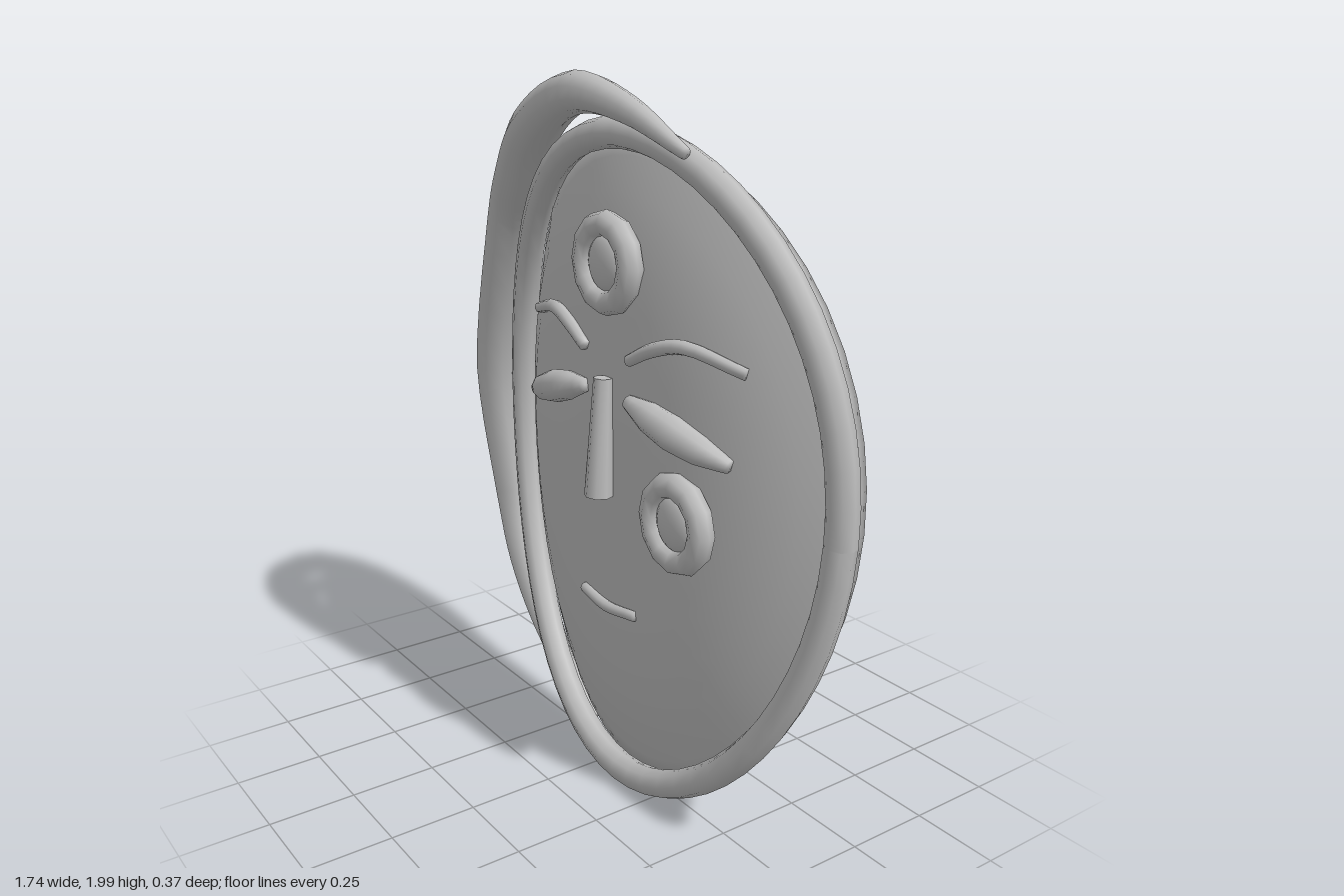
import * as THREE from 'three';
import { mergeVertices } from 'three/addons/utils/BufferGeometryUtils.js';

const CX = 0.12, CY = 0.95, BEND = 0.25;
const clay = new THREE.MeshStandardMaterial({ color: 0xbcbcbc });
clay.name = 'grey clay';

// the whole mask is bent backward towards its sides
const bend = (x) => -BEND * (x - CX) ** 2;
// domed front, r = 0 in the middle and 1 at the edge
const dome = (r) => 0.025 + 0.093 * (1 - r ** 4);
// egg outline of the face
const egg = (r, t, w, h) => [CX + r * w * Math.cos(t) * (1 + 0.06 * Math.sin(t)), CY + r * h * Math.sin(t)];
// depth of the front surface at a point
const faceZ = (x, y) => dome(Math.min(1, Math.hypot((x - CX) / 0.69, (y - CY) / 0.885))) + bend(x);

// tube of changing radius through points [x, y, z, r]
function loft(points, steps, sides, closed = false) {
  const path = new THREE.CatmullRomCurve3(points.map((p) => new THREE.Vector3(p[0], p[1], p[2])), closed);
  const last = points.length - 1;
  const radius = (t) => {
    if (closed) return points[0][3];
    const f = t * last, i = Math.min(last - 1, Math.floor(f));
    return THREE.MathUtils.lerp(points[i][3], points[i + 1][3], f - i);
  };
  const rings = [];
  for (let i = 0; i <= steps; i++) rings.push([i / steps, radius(i / steps)]);
  if (!closed) { rings.unshift([0, 0]); rings.push([1, 0]); }
  const pos = [], index = [];
  for (const [t, r] of rings) {
    const p = path.getPoint(t), tan = path.getTangent(t);
    const n = new THREE.Vector3(0, 0, 1).cross(tan).normalize();
    const b = tan.clone().cross(n);
    for (let j = 0; j < sides; j++) {
      const a = (j / sides) * Math.PI * 2;
      const v = p.clone().addScaledVector(n, r * Math.cos(a)).addScaledVector(b, r * Math.sin(a));
      pos.push(v.x, v.y, v.z);
    }
  }
  for (let i = 0; i < rings.length - 1; i++) {
    for (let j = 0; j < sides; j++) {
      const k = (j + 1) % sides, a = i * sides, c = a + sides;
      index.push(a + j, a + k, c + j, a + k, c + k, c + j);
    }
  }
  const g = new THREE.BufferGeometry();
  g.setAttribute('position', new THREE.Float32BufferAttribute(pos, 3));
  g.setIndex(index);
  g.computeVertexNormals();
  return g;
}

// face slab: turned profile reshaped to the egg and bent
function faceGeometry() {
  const profile = [[0, -0.03], [0.3, -0.03], [0.55, -0.03], [0.8, -0.03], [0.99, -0.029], [1.02, 0.02]];
  for (let r = 0.95; r > 0.05; r -= 0.1) profile.push([r, dome(r)]);
  profile.push([0, dome(0)]);
  let g = new THREE.LatheGeometry(profile.map((p) => new THREE.Vector2(...p)), 48);
  g.rotateX(Math.PI / 2);
  const p = g.attributes.position;
  for (let i = 0; i < p.count; i++) {
    const r = Math.hypot(p.getX(i), p.getY(i)), t = Math.atan2(p.getY(i), p.getX(i));
    const [x, y] = egg(r, t, 0.697, 0.89);
    p.setXYZ(i, x, y, p.getZ(i) + bend(x));
  }
  g.deleteAttribute('uv');
  g.deleteAttribute('normal');
  g = mergeVertices(g, 1e-4);
  g.computeVertexNormals();
  return g;
}

export function createModel() {
  const model = new THREE.Group();
  model.name = 'moonMask';
  const add = (name, geometry, parent = model) => {
    const m = new THREE.Mesh(geometry, clay);
    m.name = name;
    parent.add(m);
    return m;
  };

  add('face', faceGeometry());

  // rim around the face
  const rim = [];
  for (let i = 0; i < 40; i++) {
    const [x, y] = egg(1, (i / 40) * Math.PI * 2, 0.708, 0.903);
    rim.push([x, y, 0.072 + bend(x), 0.041]);
  }
  add('rim', loft(rim, 60, 8, true));

  // crescent sweeping from the top round one side to the bottom
  add('crescent', loft([
    [0.41, 1.825, 0.098, 0.015], [0.2, 1.913, 0.11, 0.036], [-0.04, 1.944, 0.104, 0.056],
    [-0.33, 1.832, 0.05, 0.074], [-0.5, 1.69, -0.01, 0.085], [-0.63, 1.535, -0.062, 0.092],
    [-0.776, 1.04, -0.092, 0.095], [-0.69, 0.63, -0.085, 0.079], [-0.58, 0.43, -0.05, 0.062],
    [-0.42, 0.25, -0.025, 0.045], [-0.275, 0.145, -0.012, 0.03], [-0.13, 0.07, -0.006, 0.014],
  ], 55, 10));

  // eyes and brows, mirrored about the face's middle
  for (const [side, s] of [['left', 1], ['right', -1]]) {
    const at = (dx, y, lift, r) => [CX + s * dx, y, faceZ(CX + s * dx, y) + lift, r];
    add(side + 'Eye', loft([
      at(0.10, 1.186, 0.008, 0.02), at(0.185, 1.166, 0.01, 0.041), at(0.27, 1.143, 0.012, 0.047),
      at(0.355, 1.118, 0.013, 0.039), at(0.44, 1.094, 0.014, 0.018),
    ], 12, 10));
    add(side + 'Brow', loft([
      at(0.10, 1.295, 0.01, 0.016), at(0.19, 1.34, 0.01, 0.019),
      at(0.29, 1.363, 0.01, 0.019), at(0.46, 1.325, 0.01, 0.016),
    ], 12, 8));
  }

  // nose, wider and further out at its lower end
  const nose = add('nose', new THREE.CylinderGeometry(0.026, 0.039, 0.325, 8));
  nose.position.set(CX, 1.068, 0.141);
  nose.rotation.x = -0.05;

  add('mouth', loft([
    [0, 0.586, 0.115, 0.015], [CX, 0.575, 0.124, 0.016], [0.24, 0.586, 0.115, 0.015],
  ], 8, 8));

  // round medallions: a ring with a flattened bead
  const medallions = [['forehead', 0.12, 1.53, 0.12], ['leftCheek', 0.405, 0.905, 0.106], ['side', -0.7, 0.935, -0.1]];
  for (const [name, x, y, z] of medallions) {
    const g = new THREE.Group();
    g.name = name + 'Medallion';
    g.position.set(x, y, z);
    add('ring', new THREE.TorusGeometry(0.102, 0.035, 8, 12), g);
    add('bead', new THREE.SphereGeometry(0.074, 16, 12), g).scale.z = 0.4;
    model.add(g);
  }
  return model;
}
